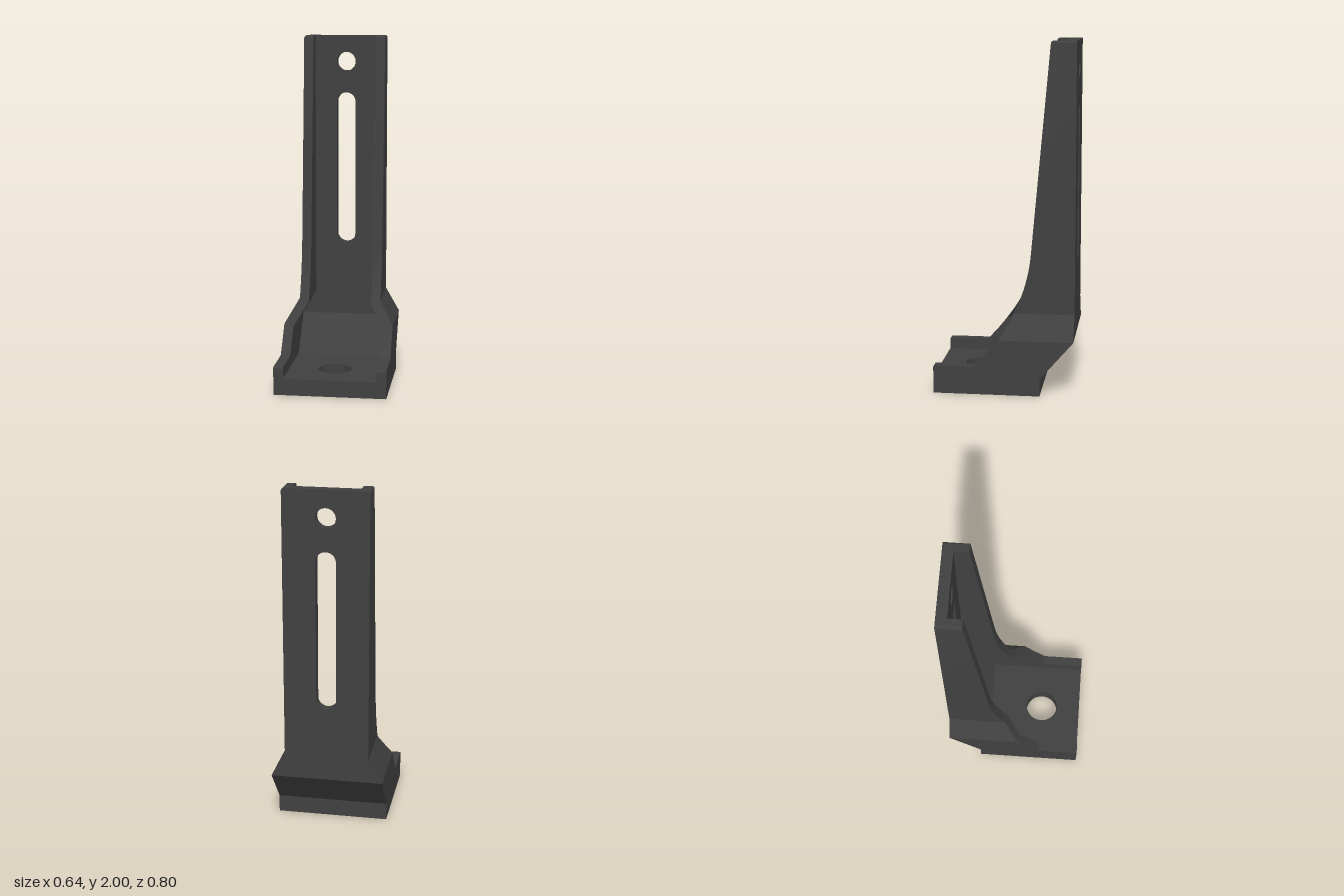
import * as THREE from 'three';
import { toCreasedNormals } from 'three/addons/utils/BufferGeometryUtils.js';

// Linear interpolation in a list of [y, value] pairs
function at(table, y) {
  if (y <= table[0][0]) return table[0][1];
  for (let i = 1; i < table.length; i++) {
    const [y0, v0] = table[i - 1], [y1, v1] = table[i];
    if (y <= y1) return v0 + ((v1 - v0) * (y - y0)) / (y1 - y0);
  }
  return table[table.length - 1][1];
}

const OUTER_X = [[0.32, 0.32], [0.46, 0.24]];
const INNER_X = [[0.305, 0.265], [0.44, 0.185]];
const BACK_Z = [[0.1, -0.21], [0.32, -0.4]];
const FLOOR = 0.095;

function polygon(points) {
  return new THREE.Shape(points.map(([x, y]) => new THREE.Vector2(x, y)));
}

function extrude(shape, depth) {
  return new THREE.ExtrudeGeometry(shape, { depth, bevelEnabled: false, curveSegments: 32 });
}

// Side wall: rectangular sections stacked along y, following the swept front edge
function wallGeometry(side) {
  const curve = new THREE.QuadraticBezierCurve(
    new THREE.Vector2(0.16, 0.162), new THREE.Vector2(-0.119, 0.456), new THREE.Vector2(-0.15, 0.8));
  const front = curve.getPoints(20).map((p) => [p.y, p.x]);
  front.push([2, -0.258]);

  const levels = [];
  const add = (y, f, inset = 0) => levels.push({ y, f, xo: at(OUTER_X, y) - inset });
  const round = (top, r, fn) => {
    for (let i = 0; i <= 4; i++) {
      const a = (i / 4) * Math.PI / 2;
      fn(top - r + r * Math.sin(a), r * (1 - Math.cos(a)));
    }
  };
  add(FLOOR, 0.4);
  add(0.1, 0.4);
  round(0.162, 0.01, (y, d) => add(y, 0.4 - d));
  const ys = front.slice(0, -1).map((p) => p[0]).concat(0.305, 0.32, 0.44, 0.46);
  ys.sort((a, b) => a - b).forEach((y) => add(y, at(front, y)));
  round(2, 0.014, (y, d) => add(y, at(front, y) - d, d));

  const pos = [], index = [];
  levels.forEach(({ y, f, xo }) => {
    const xi = at(INNER_X, y), b = at(BACK_Z, y);
    const ring = [[xi, b], [xi, f], [xo, f], [xo, b]];
    if (side < 0) ring.reverse();
    ring.forEach(([x, z]) => pos.push(side * x, y, z));
  });
  for (let i = 0; i < levels.length - 1; i++) {
    for (let j = 0; j < 4; j++) {
      const a = i * 4 + j, b = i * 4 + ((j + 1) % 4);
      index.push(a, b, b + 4, a, b + 4, a + 4);
    }
  }
  const t = (levels.length - 1) * 4;
  index.push(t, t + 1, t + 2, t, t + 2, t + 3, 0, 2, 1, 0, 3, 2);
  const geo = new THREE.BufferGeometry();
  geo.setAttribute('position', new THREE.Float32BufferAttribute(pos, 3));
  geo.setIndex(index);
  return toCreasedNormals(geo, 0.45);
}

export function createModel() {
  const group = new THREE.Group();
  const material = new THREE.MeshStandardMaterial({ color: 0x404040 });
  material.name = 'dark grey';
  const part = (name, geometry) => {
    const mesh = new THREE.Mesh(geometry, material);
    mesh.name = name;
    group.add(mesh);
  };

  // Foot plate with bolt hole (shape y is -z)
  const foot = polygon([[-0.32, -0.4], [0.32, -0.4], [0.32, 0.21], [-0.32, 0.21]]);
  foot.holes.push(new THREE.Path().absarc(0, -0.16, 0.096, 0, Math.PI * 2, true));
  part('footPlate', toCreasedNormals(extrude(foot, FLOOR).rotateX(-Math.PI / 2), 0.45));

  // Sloping heel joining foot and back (shape x is z)
  const heel = polygon([[-0.21, FLOOR], [-0.16, FLOOR], [-0.34, 0.305],
    [-0.34, 0.32], [-0.4, 0.32], [-0.21, 0.1]]);
  part('heel', extrude(heel, 0.53).rotateY(-Math.PI / 2).translate(0.265, 0, 0));

  // Back plate with round hole and long slot
  const xb = at(INNER_X, 0.32);
  const back = polygon([[-xb, 0.32], [xb, 0.32], [0.185, 0.44], [0.185, 2], [-0.185, 2], [-0.185, 0.44]]);
  back.holes.push(new THREE.Path().absarc(0, 1.845, 0.056, 0, Math.PI * 2, true));
  const slot = new THREE.Path();
  slot.absarc(0, 1.604, 0.056, 0, Math.PI, false);
  slot.absarc(0, 0.805, 0.056, Math.PI, Math.PI * 2, false);
  slot.closePath();
  back.holes.push(slot);
  part('backPlate', toCreasedNormals(extrude(back, 0.06).translate(0, 0, -0.4), 0.45));

  // Mirrored side walls
  part('leftWall', wallGeometry(1));
  part('rightWall', wallGeometry(-1));
  return group;
}
